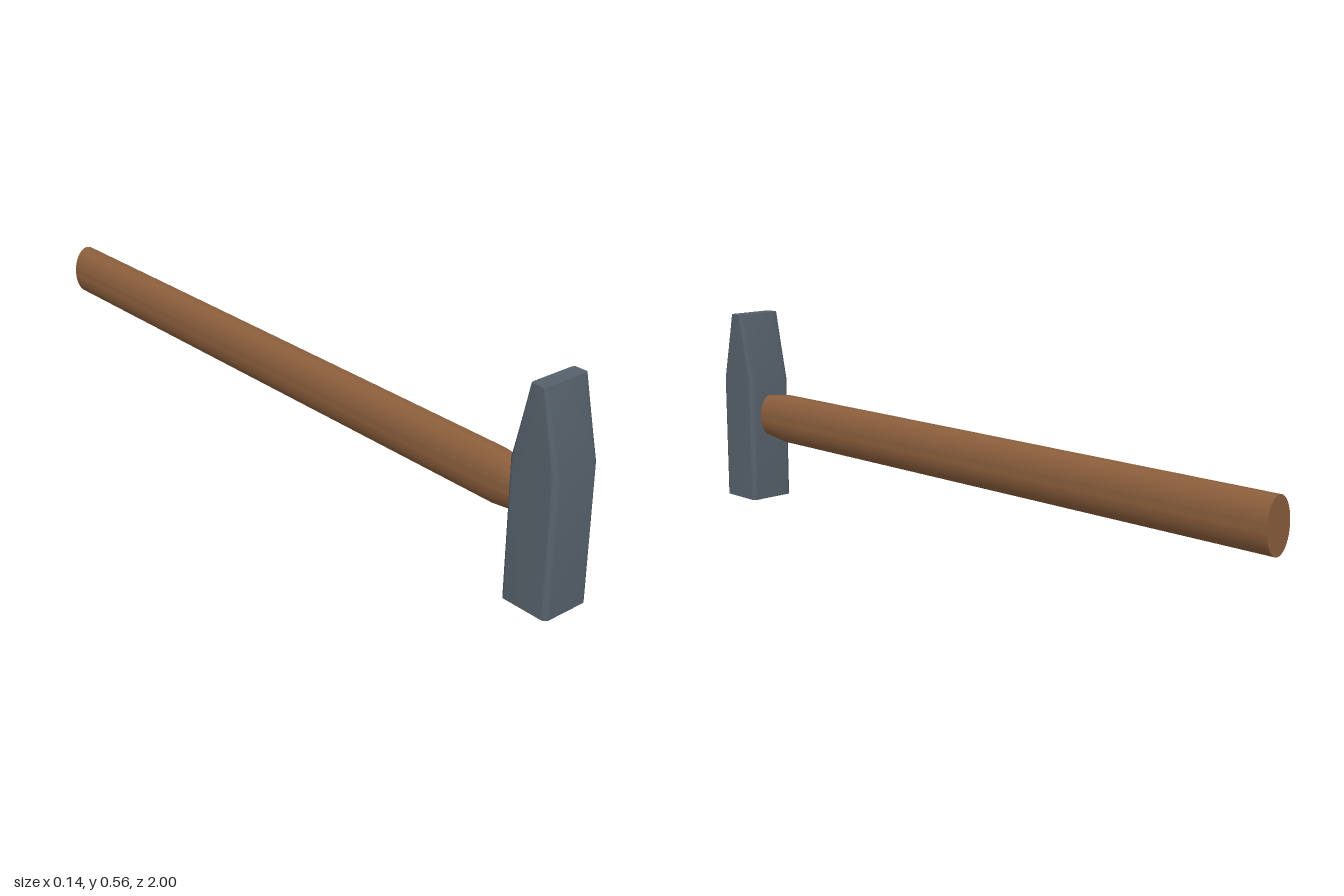
import * as THREE from 'three';
import { toCreasedNormals } from 'three/addons/utils/BufferGeometryUtils.js';

const HALF = 0.07;       // half width of the square head
const HEIGHT = 0.565;
const SHOULDER = 0.365;  // height where the wedge begins
const HEAD_Z = 0.93;

function roundedSquare(h, r) {
  const s = new THREE.Shape();
  s.absarc(h - r, h - r, r, 0, Math.PI / 2);
  s.absarc(r - h, h - r, r, Math.PI / 2, Math.PI);
  s.absarc(r - h, r - h, r, Math.PI, Math.PI * 1.5);
  s.absarc(h - r, r - h, r, Math.PI * 1.5, Math.PI * 2);
  return s;
}

// Head: square bar whose upper part narrows to a wedge
function createHead() {
  const geo = new THREE.ExtrudeGeometry(roundedSquare(HALF, 0.014), {
    depth: HEIGHT, steps: 2, bevelEnabled: false, curveSegments: 6,
  });
  geo.rotateX(-Math.PI / 2);
  const p = geo.attributes.position;
  for (let i = 0; i < p.count; i++) {
    const y = p.getY(i);
    if (y > HEIGHT * 0.75) p.setZ(i, p.getZ(i) * 0.3);
    else if (y > HEIGHT * 0.25) p.setY(i, SHOULDER);
  }
  const mesh = new THREE.Mesh(
    toCreasedNormals(geo, 0.6),
    new THREE.MeshStandardMaterial({ color: 0x56616b })
  );
  mesh.name = 'head';
  mesh.position.z = HEAD_Z;
  return mesh;
}

// Handle: oval shaft, tapered where it enters the head
function createHandle() {
  const profile = [
    [0, -1], [0.0725, -1], [0.0725, 0.77], [0.061, 0.865], [0.058, 0.92], [0, 0.92],
  ].map(([r, y]) => new THREE.Vector2(r, y));
  const geo = new THREE.LatheGeometry(profile, 48);
  geo.scale(0.61, 1, 1);
  geo.rotateX(Math.PI / 2);
  const mesh = new THREE.Mesh(
    toCreasedNormals(geo, 0.6),
    new THREE.MeshStandardMaterial({ color: 0x8b5e3c })
  );
  mesh.name = 'handle';
  mesh.position.y = 0.258;
  return mesh;
}

export function createModel() {
  const group = new THREE.Group();
  group.name = 'hammer';
  group.add(createHead(), createHandle());
  return group;
}
